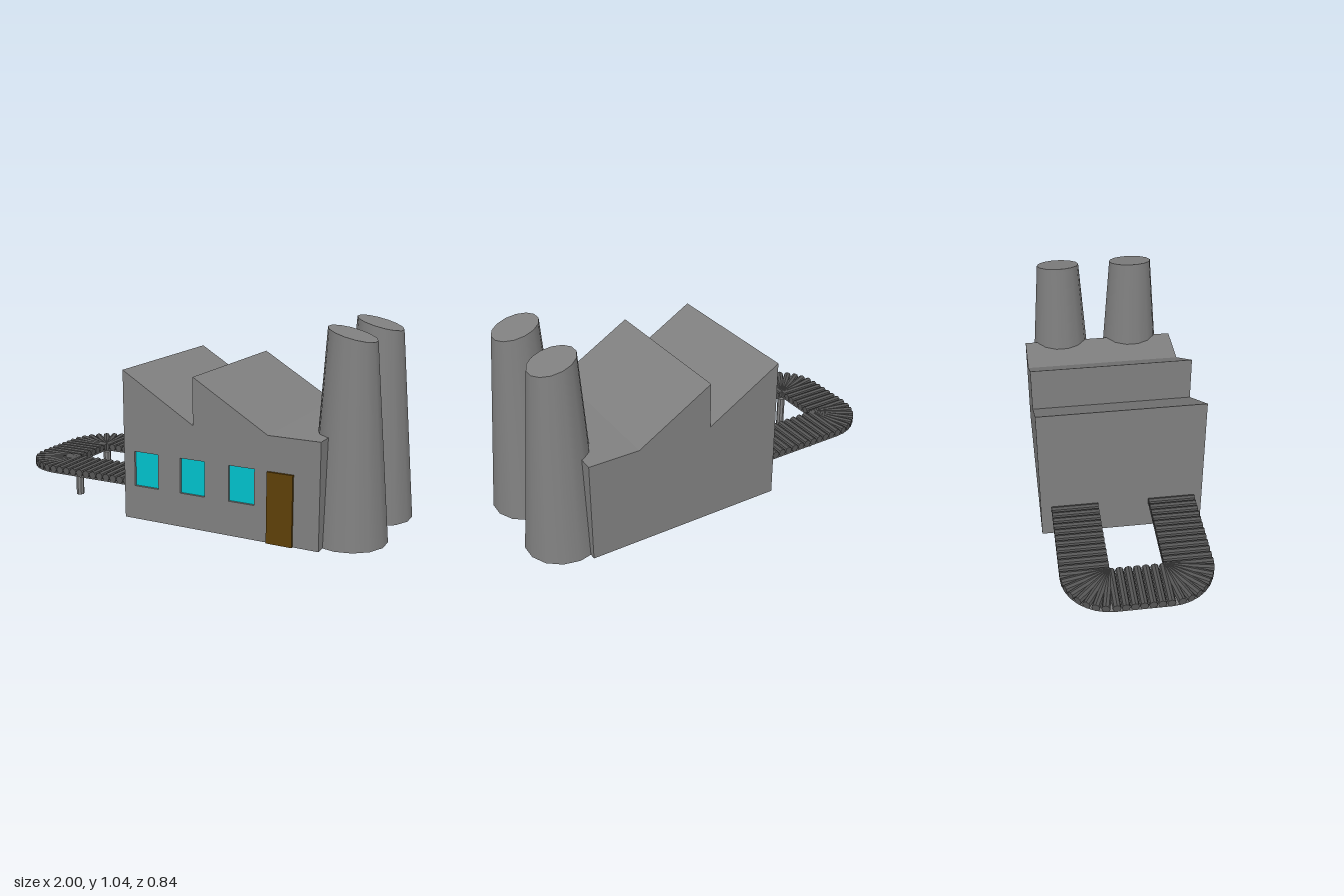
import * as THREE from 'three';

const paint = (color, flatShading = false) => new THREE.MeshStandardMaterial({ color, flatShading });
const grey = paint(0x808080);
const steel = paint(0x808080, true);
const rubber = paint(0x555555, true);
const glass = paint(0x00c2cc);
const wood = paint(0x5e4008);

const baseY = 0.031;

function add(parent, name, geometry, material, x = 0, y = 0, z = 0) {
  const mesh = new THREE.Mesh(geometry, material);
  mesh.name = name;
  mesh.position.set(x, y, z);
  parent.add(mesh);
  return mesh;
}

const extrude = (shape, depth) =>
  new THREE.ExtrudeGeometry(shape, { depth, bevelEnabled: false, curveSegments: 4 });

// Saw-tooth outline of the factory hall
const hallShape = () => new THREE.Shape([
  [-0.29, baseY], [0.75, baseY], [0.75, 0.55], [0.49, 0.55],
  [0.1, 0.785], [0.1, 0.55], [-0.29, 0.785],
].map(([x, y]) => new THREE.Vector2(x, y)));

function createHall() {
  const hall = new THREE.Group();
  hall.name = 'hall';
  add(hall, 'hallBody', extrude(hallShape(), 0.812), grey, 0, 0, -0.422);

  // Front wall with recessed windows
  const front = hallShape();
  for (const x of [-0.163, 0.095, 0.357]) {
    const w = 0.067, y0 = 0.203, y1 = 0.38;
    front.holes.push(new THREE.Path([
      new THREE.Vector2(x - w, y0), new THREE.Vector2(x - w, y1),
      new THREE.Vector2(x + w, y1), new THREE.Vector2(x + w, y0),
    ]));
    add(hall, 'window', new THREE.BoxGeometry(2 * w, y1 - y0, 0.01), glass, x, (y0 + y1) / 2, 0.392);
  }
  add(hall, 'frontWall', extrude(front, 0.02), grey, 0, 0, 0.39);
  const doorHeight = 0.38 - baseY;
  add(hall, 'door', new THREE.BoxGeometry(0.13, doorHeight, 0.012), wood, 0.557, baseY + doorHeight / 2, 0.416);
  return hall;
}

// Tapered chimney with a slanted top
function createChimneyGeometry() {
  const height = 0.979, slope = 0.267;
  const geometry = new THREE.CylinderGeometry(0.1145, 0.187, height, 14);
  const { position, normal } = geometry.attributes;
  const capNormal = new THREE.Vector3(slope, 1, 0).normalize();
  for (let i = 0; i < position.count; i++) {
    if (position.getY(i) < 0) continue;
    position.setY(i, position.getY(i) - slope * position.getX(i));
    position.setX(i, position.getX(i) - 0.009);
    if (normal.getY(i) > 0.9) normal.setXYZ(i, ...capNormal.toArray());
  }
  return geometry.translate(0, height / 2, 0);
}

function createConveyor() {
  const conveyor = new THREE.Group();
  conveyor.name = 'conveyor';
  const cornerX = -0.765, cornerZ = 0.13, width = 0.238, end = -0.29;
  const rollerGeometry = new THREE.CylinderGeometry(0.02, 0.02, width, 8).rotateX(Math.PI / 2);
  const roller = (x, z, turn) => {
    add(conveyor, 'roller', rollerGeometry, rubber, x, 0.203, z).rotation.y = turn;
  };

  // Rollers along both straights and around both corners
  for (const side of [-1, 1]) {
    for (let i = 0; i < 12; i++) roller(-0.31 - i * 0.0415, side * (cornerZ + width / 2), 0);
    for (let i = 1; i < 8; i++) {
      const a = (i / 8) * Math.PI / 2;
      roller(cornerX - Math.sin(a) * width / 2, side * (cornerZ + Math.cos(a) * width / 2), -side * a);
    }
    add(conveyor, 'leg', new THREE.CylinderGeometry(0.021, 0.021, 0.176, 8), steel, cornerX, 0.088, side * 0.135);
  }
  // Rollers across the far end
  for (let i = -3; i <= 3; i++) roller(cornerX - width / 2, i * 0.042, Math.PI / 2);

  // Thin U-shaped plate beneath the rollers
  const plate = new THREE.Shape();
  plate.moveTo(end, -cornerZ - width);
  plate.lineTo(end, -cornerZ);
  plate.lineTo(cornerX, -cornerZ);
  plate.lineTo(cornerX, cornerZ);
  plate.lineTo(end, cornerZ);
  plate.lineTo(end, cornerZ + width);
  plate.absarc(cornerX, cornerZ, width, Math.PI / 2, Math.PI, false);
  plate.absarc(cornerX, -cornerZ, width, Math.PI, Math.PI * 1.5, false);
  add(conveyor, 'plate', extrude(plate, 0.004).rotateX(Math.PI / 2), grey, 0, 0.186, 0);
  return conveyor;
}

export function createModel() {
  const model = new THREE.Group();
  model.name = 'factory';
  model.add(createHall(), createConveyor());
  const chimney = createChimneyGeometry();
  for (const z of [0.185, -0.217]) add(model, 'chimney', chimney, grey, 0.812, baseY, z);
  return model;
}
